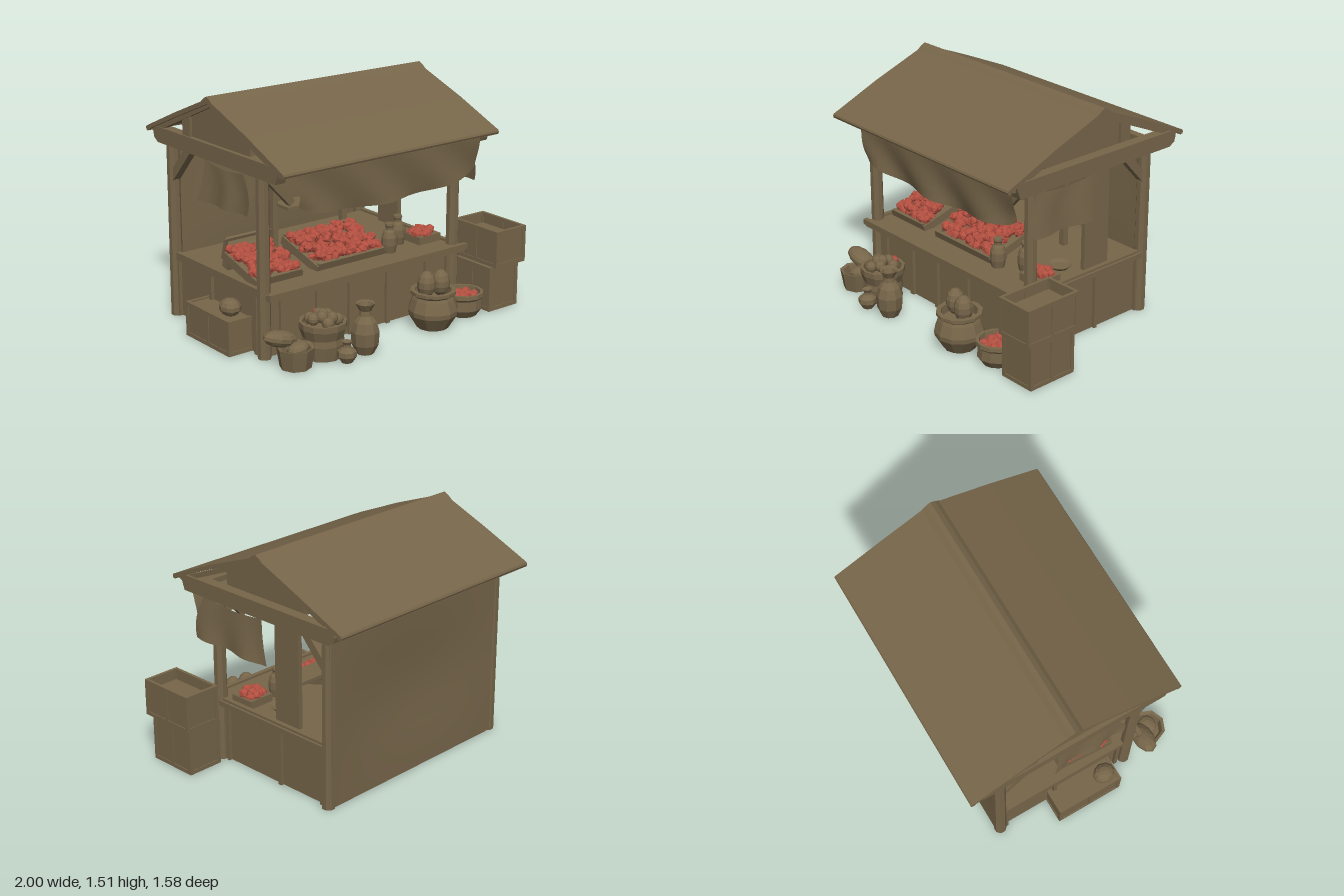
import * as THREE from 'three';
import { mergeGeometries } from 'three/addons/utils/BufferGeometryUtils.js';

export function createModel() {
  const stall = new THREE.Group();
  stall.name = 'marketStall';
  const wood = new THREE.MeshStandardMaterial({ color: 0x766549, flatShading: true });
  wood.name = 'wood brown';
  const cloth = new THREE.MeshStandardMaterial({ color: 0x766549, side: THREE.DoubleSide });
  cloth.name = 'cloth brown';
  const red = new THREE.MeshStandardMaterial({ color: 0xb24f40, flatShading: true });
  red.name = 'apple red';

  let seed = 7;
  const rnd = () => (seed = (seed * 16807) % 2147483647) / 2147483647;

  function add(name, geo, x = 0, y = 0, z = 0, mat = wood, parent = stall) {
    const m = new THREE.Mesh(geo, mat);
    m.name = name;
    m.position.set(x, y, z);
    parent.add(m);
    return m;
  }
  // Box given by its limits on each axis
  const box = (name, x0, x1, y0, y1, z0, z1, parent = stall) =>
    add(name, new THREE.BoxGeometry(x1 - x0, y1 - y0, z1 - z0),
      (x0 + x1) / 2, (y0 + y1) / 2, (z0 + z1) / 2, wood, parent);
  // Shape drawn in (z, y), extruded along x
  function sideExtrude(name, pts, x0, x1) {
    const s = new THREE.Shape(pts.map(([z, y]) => new THREE.Vector2(-z, y)));
    const g = new THREE.ExtrudeGeometry(s, { depth: x1 - x0, bevelEnabled: false });
    g.rotateY(Math.PI / 2);
    return add(name, g, x0, 0, 0);
  }
  const lathe = (name, pts, x, z, y = 0, seg = 12) =>
    add(name, new THREE.LatheGeometry(pts.map(p => new THREE.Vector2(...p)), seg), x, y, z);
  function ball(name, x, y, z, rx, ry = rx, rz = rx, tilt = 0) {
    const m = add(name, new THREE.SphereGeometry(1, 10, 7), x, y, z);
    m.scale.set(rx, ry, rz);
    m.rotation.z = tilt;
    return m;
  }
  // Domed pile of apples filling a rectangle or a disc
  function apples(name, n, x, y, z, w, d, h, round, parent = stall) {
    const list = [];
    for (let i = 0; i < n; i++) {
      const a = rnd() * 6.28, q = Math.sqrt(rnd());
      const u = round ? Math.cos(a) * q : rnd() * 2 - 1;
      const v = round ? Math.sin(a) * q : rnd() * 2 - 1;
      const g = new THREE.IcosahedronGeometry(0.028 + 0.007 * rnd(), 0);
      g.rotateX(rnd() * 3).rotateY(rnd() * 3);
      g.translate(u * w / 2, h * (0.35 + 0.65 * rnd()) * (1 - 0.3 * v * v), v * d / 2);
      list.push(g);
    }
    return add(name, mergeGeometries(list), x, y, z, red, parent);
  }

  // Base cabinet with battens and panels, then the counter top
  box('cabinet', -0.83, 0.65, 0.01, 0.38, -0.555, 0.38);
  for (const x of [-0.72, -0.45, -0.2, 0.1, 0.42, 0.6]) {
    box('frontBatten', x - 0.015, x + 0.015, 0.01, 0.38, 0.38, 0.4);
  }
  for (const x of [-0.84, 0.66]) {
    for (const z of [0.3, -0.17, -0.53]) box('sideBatten', x - 0.012, x + 0.012, 0.01, 0.38, z - 0.012, z + 0.012);
    box('sideRail', x - 0.015, x + 0.015, 0.38, 0.43, -0.54, 0.33);
  }
  box('counterTop', -0.85, 0.69, 0.38, 0.415, -0.55, 0.46);
  box('counterLip', -0.86, 0.7, 0.395, 0.43, 0.44, 0.47);

  // Corner posts, gable beams, braces and gable panels
  for (const s of [-1, 1]) {
    const px = -0.09 + s * 0.745, bx = -0.055 + s * 0.785;
    for (const z of [0.37, -0.572]) {
      const post = add('cornerPost', new THREE.CylinderGeometry(0.04, 0.042, 1.14, 8), px, 0.575, z);
      post.rotation.y = Math.PI / 8;
    }
    sideExtrude('gableBeam', [[0.58, 1.2], [0.55, 1.12], [-0.68, 1.12], [-0.72, 1.145], [-0.73, 1.18], [-0.72, 1.22], [0.58, 1.22]],
      bx - 0.035, bx + 0.035);
    sideExtrude('sideBrace', [[-0.33, 1.13], [-0.54, 0.9], [-0.54, 0.98], [-0.4, 1.13]], px - 0.025, px + 0.025);
    sideExtrude('gablePanel', [[0.27, 1.2], [0.27, 1.31], [-0.1, 1.47], [-0.33, 1.36], [-0.33, 1.2]], px - 0.012, px + 0.012);
    sideExtrude('gableStrut', [[-0.33, 1.2], [-0.41, 1.2], [-0.41, 1.32], [-0.33, 1.36]], px - 0.03, px + 0.03);
    // Front brace leaning inward
    const brace = box('frontBrace', -0.022, 0.022, -0.15, 0.15, -0.02, 0.02);
    brace.position.set(px - s * 0.1, 1.04, 0.37);
    brace.rotation.z = -s * 0.75;
  }
  box('frontBeam', -0.87, 0.74, 1.12, 1.18, 0.45, 0.51);
  box('frontPostBeam', -0.84, 0.66, 1.1, 1.17, 0.34, 0.4);
  box('backBeam', -0.84, 0.66, 1.1, 1.18, -0.6, -0.55);
  box('sideScreen', 0.6, 0.63, 0.4, 1.12, -0.3, -0.1);

  // Roof: thin sloping cover, a lower layer at each gable and a ridge cap
  sideExtrude('roofCover', [[0.64, 1.205], [0.3, 1.35], [-0.1, 1.5], [-0.45, 1.355], [-0.78, 1.21],
    [-0.785, 1.18], [-0.45, 1.325], [-0.1, 1.47], [0.3, 1.32], [0.645, 1.175]], -0.89, 0.77);
  for (const x of [-0.87, 0.71]) {
    sideExtrude('gableRafter', [[0.62, 1.18], [-0.1, 1.48], [-0.76, 1.19], [-0.72, 1.175], [-0.1, 1.447], [0.58, 1.165]], x, x + 0.04);
  }
  sideExtrude('ridgeCap', [[-0.04, 1.475], [-0.07, 1.5], [-0.1, 1.515], [-0.13, 1.5], [-0.16, 1.475], [-0.1, 1.47]], -0.892, 0.772);
  for (const [z, y] of [[0.635, 1.19], [-0.773, 1.195]]) {
    const roll = add('eaveRoll', new THREE.CylinderGeometry(0.017, 0.017, 1.66, 8), -0.06, y, z);
    roll.rotation.z = Math.PI / 2;
  }

  // Sheets of cloth: (u, v) in 0..1 mapped to a point, v = 0 at the hem
  function sheet(name, fn, nu = 20, nv = 8) {
    const g = new THREE.PlaneGeometry(1, 1, nu, nv), p = g.attributes.position;
    for (let i = 0; i < p.count; i++) p.setXYZ(i, ...fn(p.getX(i) + 0.5, p.getY(i) + 0.5));
    g.computeVertexNormals();
    return add(name, g, 0, 0, 0, cloth);
  }
  sheet('backWall', (u, v) => [-0.85 + u * 1.53, 0.01 + v * 1.14,
    -0.605 + 0.03 * Math.sin(u * Math.PI) * Math.sin(v * Math.PI) ** 2]);
  sheet('frontAwning', (u, v) => {
    const hem = 0.95 - 0.09 * Math.sqrt(Math.max(0, Math.sin(u * Math.PI)));
    const left = -0.7 - 0.03 * v;
    return [left + u * (0.7 - left), hem + v * (1.17 - hem),
      0.54 + 0.02 * v + 0.025 * Math.sin(u * 17 + v * 3) * (1 - v)];
  }, 28);
  const sideCloth = (x, dx, zf, zb, hem) => sheet('sideCloth', (u, v) => {
    const z0 = zf + 0.07 * Math.sin((1 - v) * 2.2), z1 = zb - 0.04 * (1 - v) ** 2;
    return [x + dx * (1 - v) + 0.016 * Math.sin(u * 11) * (1 - v), hem + 0.015 * (1 - u) * (1 - v)
      + v * (1.11 - hem - 0.02 * Math.sin(u * Math.PI)), z0 + u * (z1 - z0)];
  }, 14, 6);
  sideCloth(0.74, 0.02, 0.4, -0.11, 0.82);
  sideCloth(-0.86, -0.02, 0.22, -0.18, 0.85);

  // Shelf rack behind the counter
  box('shelf', -0.28, 0.6, 0.69, 0.71, -0.29, -0.13);
  for (const x of [-0.29, 0.27]) box('shelfPost', x - 0.02, x + 0.02, 0.41, 0.87, -0.29, -0.25);

  // Tilted display trays heaped with apples
  function tray(x0, x1, n, handle) {
    const t = new THREE.Group(), w = (x1 - x0) / 2;
    t.name = 'appleTray';
    t.position.set((x0 + x1) / 2, 0.475, 0.085);
    t.rotation.x = 0.28;
    stall.add(t);
    box('trayFloor', -w, w, -0.02, 0, -0.18, 0.18, t);
    for (const s of [-1, 1]) {
      box('traySide', s * w - 0.01, s * w + 0.01, -0.03, 0.025, -0.19, 0.19, t);
      box('trayEnd', -w, w, -0.03, 0.04, s * 0.18 - 0.01, s * 0.18 + 0.01, t);
      if (handle) box('trayHandlePost', s * w - 0.01, s * w + 0.01, 0, 0.11, -0.19, -0.17, t);
    }
    if (handle) box('trayHandle', -w, w, 0.095, 0.115, -0.19, -0.17, t);
    box('trayRest', -w, w, -0.08, -0.02, -0.18, -0.12, t);
    apples('trayApples', n, 0, 0, 0, 2 * w - 0.03, 0.31, 0.075, false, t);
  }
  tray(-0.8, -0.48, 105, true);
  tray(-0.35, 0.17, 165, false);

  // Counter jars, small apple tray and plate
  const jar = [[0, 0], [0.042, 0], [0.052, 0.05], [0.051, 0.1], [0.038, 0.135], [0.024, 0.15], [0.024, 0.165], [0.03, 0.175], [0.028, 0.19], [0, 0.19]];
  lathe('counterJar', jar, 0.23, 0.25, 0.415);
  lathe('counterJar', jar, 0.38, 0.155, 0.415);
  box('smallTray', 0.46, 0.64, 0.415, 0.465, 0.11, 0.28);
  apples('smallTrayApples', 24, 0.55, 0.45, 0.195, 0.14, 0.12, 0.035, false);
  lathe('plate', [[0, 0], [0.05, 0], [0.08, 0.025], [0.05, 0.012], [0, 0.012]], 0.5, -0.02, 0.415);

  // Wooden crate with corner battens and rims
  function crate(x0, x1, y0, y1, z0, z1, lid) {
    const g = new THREE.Group(), t = 0.02;
    g.name = 'crate';
    stall.add(g);
    box('crateFloor', x0 + t, x1 - t, y0, lid ? y1 - 0.01 : y1 - 0.07, z0 + t, z1 - t, g);
    for (const x of [x0, x1 - t]) {
      box('crateSide', x + 0.006, x + t - 0.006, y0, y1, z0, z1, g);
      for (const z of [z0, (z0 + z1) / 2 - 0.012, z1 - 0.025]) box('crateBatten', x, x + t, y0, y1, z, z + 0.025, g);
      for (const y of [y0, y1 - 0.025]) box('crateRail', x, x + t, y, y + 0.025, z0, z1, g);
    }
    for (const z of [z0, z1 - t]) {
      box('crateEnd', x0, x1, y0, y1, z + 0.006, z + t - 0.006, g);
      for (const y of [y0, y1 - 0.025]) box('crateRail', x0, x1, y, y + 0.025, z, z + t, g);
      for (const x of [x0, x1 - 0.025]) box('crateBatten', x, x + 0.025, y0, y1, z, z + t, g);
    }
  }
  crate(0.725, 0.975, 0.01, 0.305, 0.31, 0.655, true);
  crate(0.74, 0.995, 0.31, 0.55, 0.3, 0.695, false);
  crate(-1, -0.76, 0.01, 0.23, -0.22, 0.24, true);
  ball('melon', -0.925, 0.285, 0.15, 0.065, 0.055, 0.075);

  // Baskets, pots and produce in front of the counter
  lathe('lowBasket', [[0, 0.01], [0.095, 0.01], [0.11, 0.1], [0.115, 0.135], [0.095, 0.13], [0.08, 0.07], [0, 0.07]], -0.775, 0.595, 0, 8);
  ball('longGourd', -0.83, 0.175, 0.52, 0.12, 0.05, 0.07, -0.25);
  ball('longGourd', -0.76, 0.12, 0.6, 0.07, 0.04, 0.06, 0.2);
  lathe('fruitBasket', [[0, 0.01], [0.115, 0.01], [0.13, 0.1], [0.125, 0.14], [0.145, 0.2], [0.145, 0.235], [0.125, 0.235], [0.115, 0.18], [0, 0.18]], -0.545, 0.56);
  for (let i = 0; i < 9; i++) {
    const a = i * 2.4, r = 0.032 * Math.sqrt(i);
    ball('basketFruit', -0.545 + r * Math.cos(a), 0.27 - i * 0.005, 0.56 + r * Math.sin(a), 0.037);
  }
  apples('basketApples', 4, -0.5, 0.235, 0.5, 0.1, 0.06, 0.02, true);
  lathe('smallPot', [[0, 0.01], [0.035, 0.01], [0.06, 0.05], [0.058, 0.08], [0.025, 0.105], [0.022, 0.12], [0.033, 0.14], [0, 0.13]], -0.495, 0.725, 0, 8);
  lathe('vase', [[0, 0.01], [0.055, 0.01], [0.082, 0.07], [0.088, 0.15], [0.07, 0.21], [0.04, 0.25], [0.036, 0.28],
    [0.06, 0.325], [0.045, 0.32], [0.025, 0.27], [0, 0.27]], -0.32, 0.68, 0, 9);
  lathe('bigPot', [[0, 0.01], [0.1, 0.01], [0.155, 0.1], [0.158, 0.13], [0.135, 0.2], [0.125, 0.22], [0.145, 0.235],
    [0.145, 0.255], [0.115, 0.255], [0.11, 0.2], [0, 0.2]], 0.285, 0.61);
  ball('eggGourd', 0.235, 0.295, 0.6, 0.06, 0.085);
  ball('eggGourd', 0.335, 0.29, 0.62, 0.06, 0.085);
  lathe('appleBowl', [[0, 0.01], [0.085, 0.01], [0.12, 0.06], [0.115, 0.125], [0.13, 0.14], [0.128, 0.165], [0.108, 0.165],
    [0.1, 0.11], [0, 0.11]], 0.58, 0.57);
  apples('groundBowlApples', 30, 0.58, 0.115, 0.57, 0.17, 0.17, 0.025, true);

  return stall;
}
